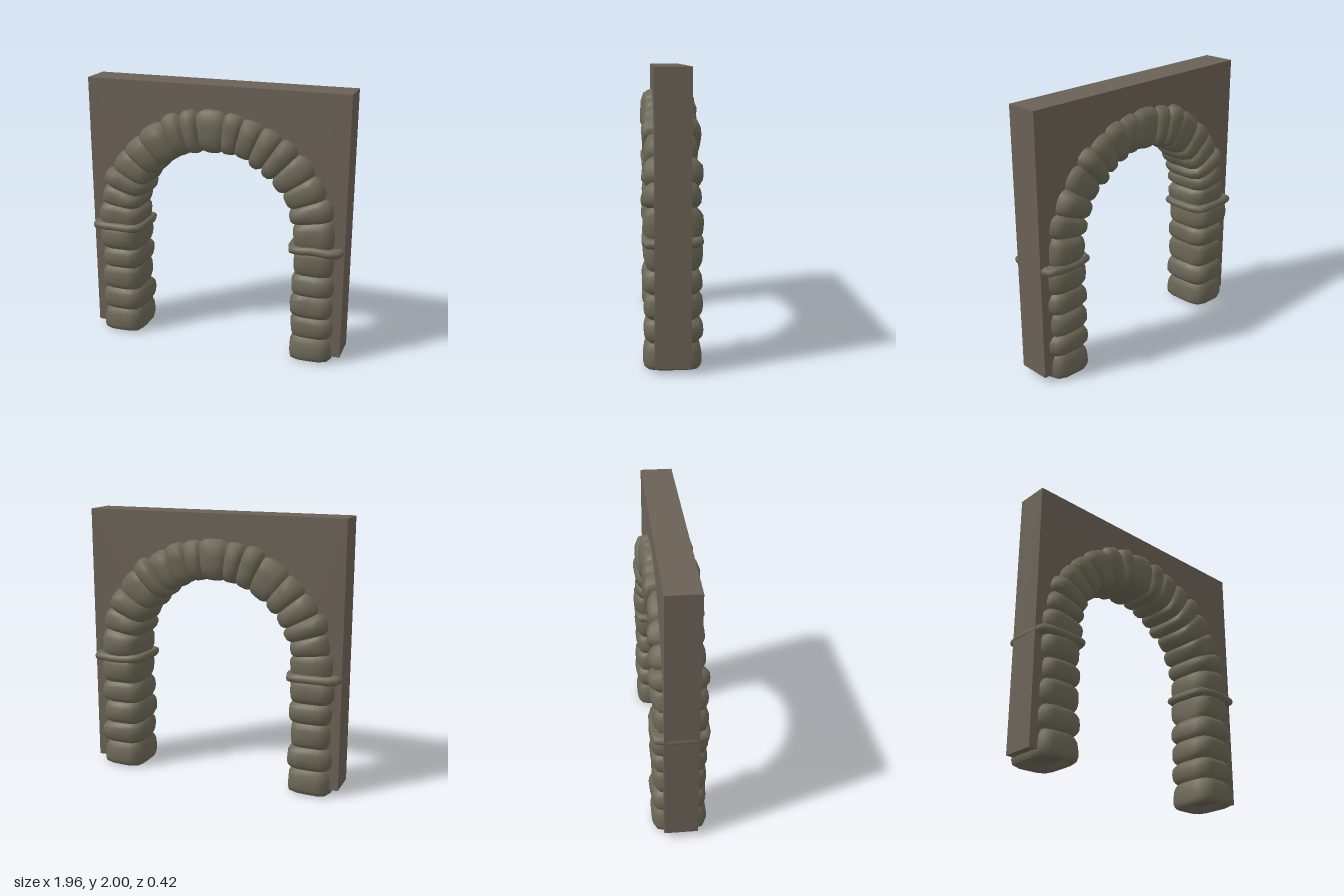
import * as THREE from 'three';

const CY = 0.95, RX = 0.757, RY = 0.725; // springing height and centreline radii
const ZC = -0.01, SIDES = 20;

const stoneMat = new THREE.MeshStandardMaterial({ name: 'stone', color: 0x6c6756 });
const wallMat = new THREE.MeshStandardMaterial({ name: 'wall plaster', color: 0x6b6256 });

// Small seeded generator, returns -1..1
let seed = 7;
const rnd = () => {
  seed = (seed * 16807) % 2147483647;
  return (seed / 2147483647) * 2 - 1;
};

// Centreline in degrees: right leg below 0, arch 0..180, left leg above 180
function frame(deg) {
  const c = Math.min(180, Math.max(0, deg)) * Math.PI / 180;
  const extra = deg < 0 ? deg : deg > 180 ? 180 - deg : 0;
  const n = new THREE.Vector2(Math.cos(c) * RY, Math.sin(c) * RX).normalize();
  return { x: RX * Math.cos(c), y: CY + RY * Math.sin(c) + extra * Math.PI / 180 * RY, n };
}
const legDeg = (y) => (y - CY) / RY * 180 / Math.PI;

// Lofts rounded-rectangle rings along the centreline.
// ring: { deg, a, b, oa, ob, rough, lift } = half width, half depth, offsets, per-corner changes
function loft(rings, power = 4.5) {
  const pos = [], idx = [];
  rings.forEach((r, j) => {
    const f = frame(r.deg);
    for (let i = 0; i < SIDES; i++) {
      const t = (i + 0.5) / SIDES * Math.PI * 2, c = Math.cos(t), s = Math.sin(t);
      const k = (Math.abs(c) ** power + Math.abs(s) ** power) ** (-1 / power) * (1 + (r.rough ? r.rough[i] : 0));
      const a = c * k * r.a + (r.oa || 0), b = s * k * r.b + (r.ob || 0);
      pos.push(f.x + f.n.x * a, f.y + f.n.y * a + (r.lift ? r.lift(c, s) : 0), ZC + b);
      if (j < rings.length - 1) {
        const A = j * SIDES + i, B = j * SIDES + (i + 1) % SIDES;
        idx.push(A, A + SIDES, B, B, A + SIDES, B + SIDES);
      }
    }
  });
  const g = new THREE.BufferGeometry();
  g.setAttribute('position', new THREE.Float32BufferAttribute(pos, 3));
  g.setIndex(idx);
  g.computeVertexNormals();
  return g;
}

// One pillowed block between two centreline positions
const PROFILE = [[0, 0], [0.1, 0.5], [0.25, 0.9], [0.5, 1], [0.75, 0.9], [0.9, 0.5], [1, 0]];
function blockRings(d0, d1) {
  const A = 0.165 + rnd() * 0.009, B = 0.192 + rnd() * 0.012;
  const oa = rnd() * 0.008, ob = rnd() * 0.008, tilt = rnd() * 0.12;
  // Gentle lobes make each block slightly uneven
  const p = rnd() * 3, q = rnd() * 3;
  return PROFILE.map(([t, w]) => ({
    deg: d0 + (d1 - d0) * t,
    a: 0.139 + (A - 0.139) * w * (1 + tilt * (t - 0.5) * 2),
    b: 0.163 + (B - 0.163) * w * (1 + tilt * (t - 0.5) * 2),
    oa: oa * w, ob: ob * w,
    rough: Array.from({ length: SIDES }, (_, i) =>
      w * 0.022 * (Math.sin(i * Math.PI * 6 / SIDES + p) + Math.sin(i * Math.PI * 10 / SIDES + q) * 0.6)),
  }));
}

export function createModel() {
  const group = new THREE.Group();
  const add = (name, geo, mat, parent = group) => {
    const m = new THREE.Mesh(geo, mat);
    m.name = name;
    parent.add(m);
    return m;
  };

  // Wall slab with the arched opening cut out
  const s = new THREE.Shape();
  s.moveTo(-0.975, 0.05);
  s.lineTo(-0.65, 0.05);
  s.lineTo(-0.65, CY);
  s.absellipse(0, CY, 0.65, 0.62, Math.PI, 0, true);
  s.lineTo(0.65, 0.05);
  s.lineTo(0.98, 0.05);
  s.lineTo(0.98, 2);
  s.lineTo(-0.975, 2);
  s.closePath();
  const wall = new THREE.ExtrudeGeometry(s, { depth: 0.24, bevelEnabled: false, curveSegments: 32 });
  wall.translate(0, 0, -0.13);
  add('wall', wall, wallMat);

  // Arch stones, springing from behind the bands
  const arch = new THREE.Group();
  arch.name = 'archStones';
  group.add(arch);
  const joints = [legDeg(0.875), 10, 21, 33, 45, 55, 65, 75, 84, 98, 107, 117, 131, 142, 153, 163, 173,
    180 - legDeg(0.875)];
  for (let i = 0; i < joints.length - 1; i++) {
    add('archStone', loft(blockRings(joints[i], joints[i + 1])), stoneMat, arch);
  }

  // Legs: stacked blocks, hollow foot and a band on top
  for (const side of [1, -1]) {
    const name = side > 0 ? 'left' : 'right';
    const at = (y) => (side > 0 ? legDeg(y) : 180 - legDeg(y));
    const dir = (rings) => (side > 0 ? rings : rings.reverse());
    const leg = new THREE.Group();
    leg.name = name + 'Leg';
    group.add(leg);

    const ys = side > 0 ? [0.19, 0.35, 0.52, 0.68, 0.875] : [0.19, 0.36, 0.54, 0.69, 0.875];
    for (let i = 0; i < 4; i++) {
      const [d0, d1] = [at(ys[i]), at(ys[i + 1])];
      add('legStone', loft(blockRings(Math.min(d0, d1), Math.max(d0, d1))), stoneMat, leg);
    }

    // Foot block turns in under itself to a hollow rim
    const foot = [[0.06, 0.095, 0.105], [0.025, 0.12, 0.14], [0.008, 0.145, 0.172], [0.018, 0.158, 0.188],
      [0.05, 0.165, 0.197], [0.1, 0.163, 0.196], [0.145, 0.16, 0.188], [0.175, 0.149, 0.174], [0.19, 0.139, 0.163]];
    const wave = (c) => c * side * 0.004;
    add('footStone', loft(dir(foot.map(([y, a, b], i) => ({
      deg: at(y), a, b, lift: i < 5 ? wave : undefined,
    })))), stoneMat, leg);

    // Projecting band, slightly warped
    const band = [[0.85, 0.13, 0.15], [0.843, 0.185, 0.18], [0.855, 0.202, 0.199], [0.875, 0.207, 0.204],
      [0.895, 0.202, 0.199], [0.908, 0.185, 0.18], [0.902, 0.13, 0.15]];
    const warp = (c, z) => (side > 0 ? 0.006 * Math.cos(c * 4) * z : 0.002 * c);
    add(name + 'Band', loft(dir(band.map(([y, a, b]) => ({
      deg: at(y), a, b, oa: 0.015, lift: warp,
    }))), 6), stoneMat, leg);
  }
  return group;
}
